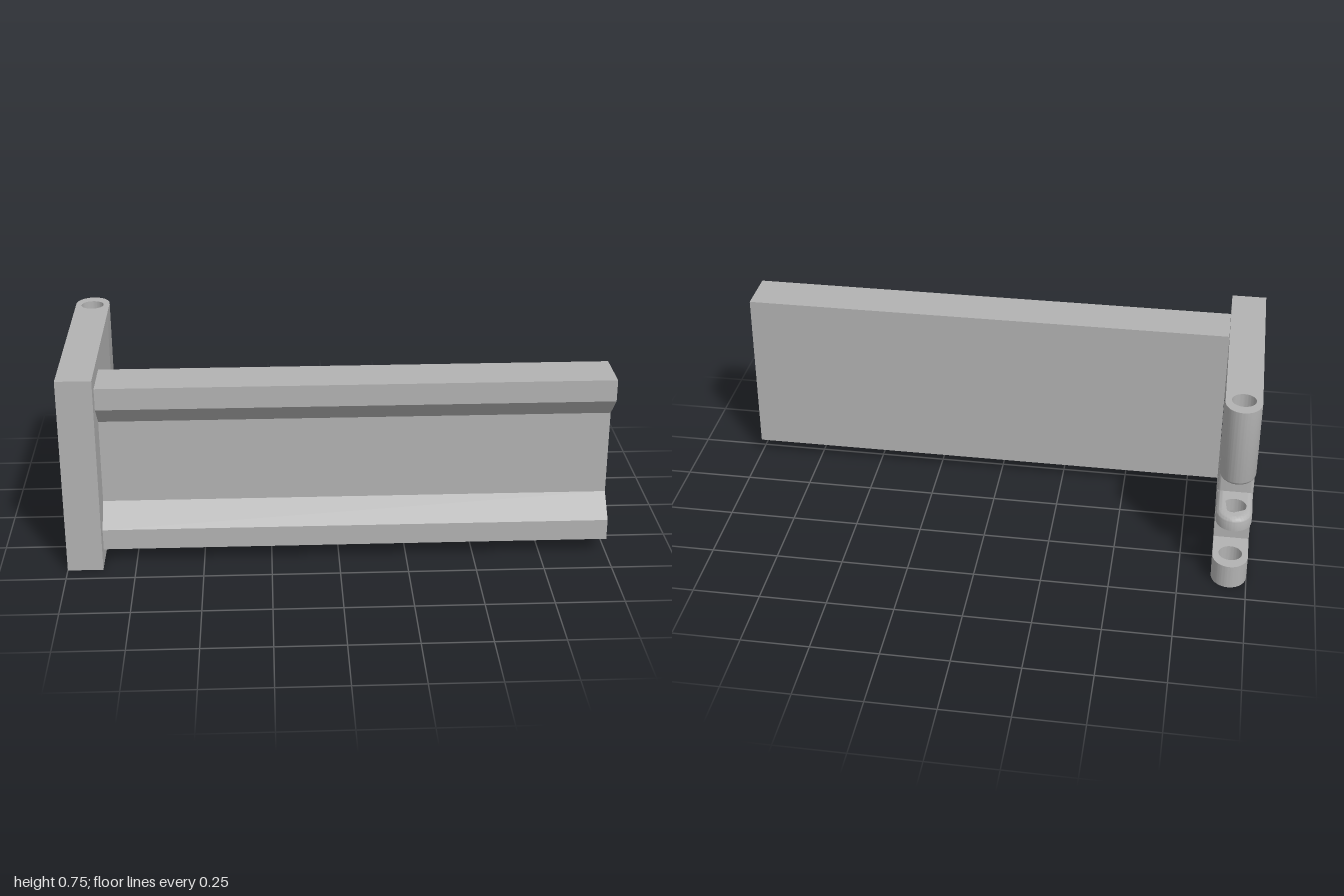
import * as THREE from 'three';
import { toCreasedNormals } from 'three/addons/utils/BufferGeometryUtils.js';

const X0 = -1, X1 = -0.87, XC = (X0 + X1) / 2, HALF = (X1 - X0) / 2;
const PIN = 0.35;       // distance of the hinge axis behind the centre
const STRAIGHT = 0.365; // where the knuckle flanks start to curve
const TIP = 0.437, ROOT = 0.25, PIN_R = 0.043;

const toShape = (pts) => new THREE.Shape(pts.map(([a, b]) => new THREE.Vector2(a, b)));

// Extrudes a [z, y] profile along x
function alongX(profile, x0, x1, hole) {
  const shape = toShape(profile.map(([z, y]) => [-z, y]));
  if (hole) shape.holes.push(toShape(hole.map(([z, y]) => [-z, y])));
  return new THREE.ExtrudeGeometry(shape, { depth: x1 - x0, bevelEnabled: false })
    .rotateY(Math.PI / 2).translate(x0, 0, 0);
}

const rect = (z0, z1, y0, y1) => [[z0, y0], [z1, y0], [z1, y1], [z0, y1]];

// Hinge knuckle with a pin hole; one end may have a rounded rim
function knuckle(y0, y1, roundEnd, r = 0.022) {
  const shape = new THREE.Shape();
  shape.moveTo(-HALF, ROOT);
  shape.lineTo(HALF, ROOT);
  shape.lineTo(HALF, STRAIGHT);
  shape.absellipse(0, STRAIGHT, HALF, TIP - STRAIGHT, 0, Math.PI, false);
  shape.lineTo(-HALF, ROOT);
  const hole = new THREE.Path();
  hole.absarc(0, PIN, PIN_R, 0, Math.PI * 2, true);
  shape.holes.push(hole);

  const h = y1 - y0, arc = 6, steps = roundEnd ? arc + 1 : 1;
  const geo = new THREE.ExtrudeGeometry(shape, { depth: h, steps, bevelEnabled: false, curveSegments: 24 });
  if (roundEnd) {
    const p = geo.attributes.position;
    for (let i = 0; i < p.count; i++) {
      const level = Math.round(p.getZ(i) / h * steps);
      const k = roundEnd === 'top' ? steps - level : level;
      const a = Math.min(k / arc, 1) * Math.PI / 2;
      const t = k > arc ? h : r * (1 - Math.cos(a));
      const inset = r * (1 - Math.sin(a));
      let x = p.getX(i), s = p.getY(i);
      // Only the outer outline is drawn in, not the pin hole
      if (Math.hypot(x, s - PIN) > PIN_R + 0.003) {
        x *= (HALF - inset) / HALF;
        if (s > STRAIGHT) s = STRAIGHT + (s - STRAIGHT) * (TIP - STRAIGHT - inset) / (TIP - STRAIGHT);
      }
      p.setXYZ(i, x, s, roundEnd === 'top' ? h - t : t);
    }
  }
  geo.rotateX(-Math.PI / 2).translate(XC, y0, 0);
  return toCreasedNormals(geo, 0.6);
}

// Wall of the upper notch, with rounded vertical edges
function notchWall(y0, y1, r = 0.012) {
  const shape = new THREE.Shape();
  shape.moveTo(-HALF, 0);
  shape.lineTo(HALF, 0);
  shape.absarc(HALF - r, 0, r, 0, Math.PI / 2, false);
  shape.absarc(-HALF + r, 0, r, Math.PI / 2, Math.PI, false);
  const geo = new THREE.ExtrudeGeometry(shape, { depth: y1 - y0, bevelEnabled: false, curveSegments: 6 });
  geo.rotateX(-Math.PI / 2).translate(XC, y0, -0.248);
  return toCreasedNormals(geo, 0.6);
}

export function createModel() {
  const group = new THREE.Group();
  const grey = new THREE.MeshStandardMaterial({ color: 0xb2b2b2 });
  grey.name = 'plain grey';
  const add = (name, geometry) => {
    const mesh = new THREE.Mesh(geometry, grey);
    mesh.name = name;
    group.add(mesh);
  };

  // Upright plate with a narrow slot
  add('hingePlate', alongX(rect(-ROOT, 0.437, 0, 0.75), X0, X1, rect(0.086, 0.142, 0.282, 0.47)));
  add('notchWall', notchWall(0.305, 0.445));

  // Three knuckles along the back edge
  add('lowerKnuckle', knuckle(0, 0.092));
  add('middleKnuckle', knuckle(0.253, 0.305, 'top'));
  add('upperKnuckle', knuckle(0.445, 0.75, 'bottom'));

  // Long channel-shaped arm
  add('channelArm', alongX([
    [0.198, 0.056], [0.383, 0.056], [0.383, 0.135], [0.302, 0.215],
    [0.302, 0.535], [0.383, 0.615], [0.383, 0.697], [0.198, 0.697],
  ], X1, 1));

  return group;
}
